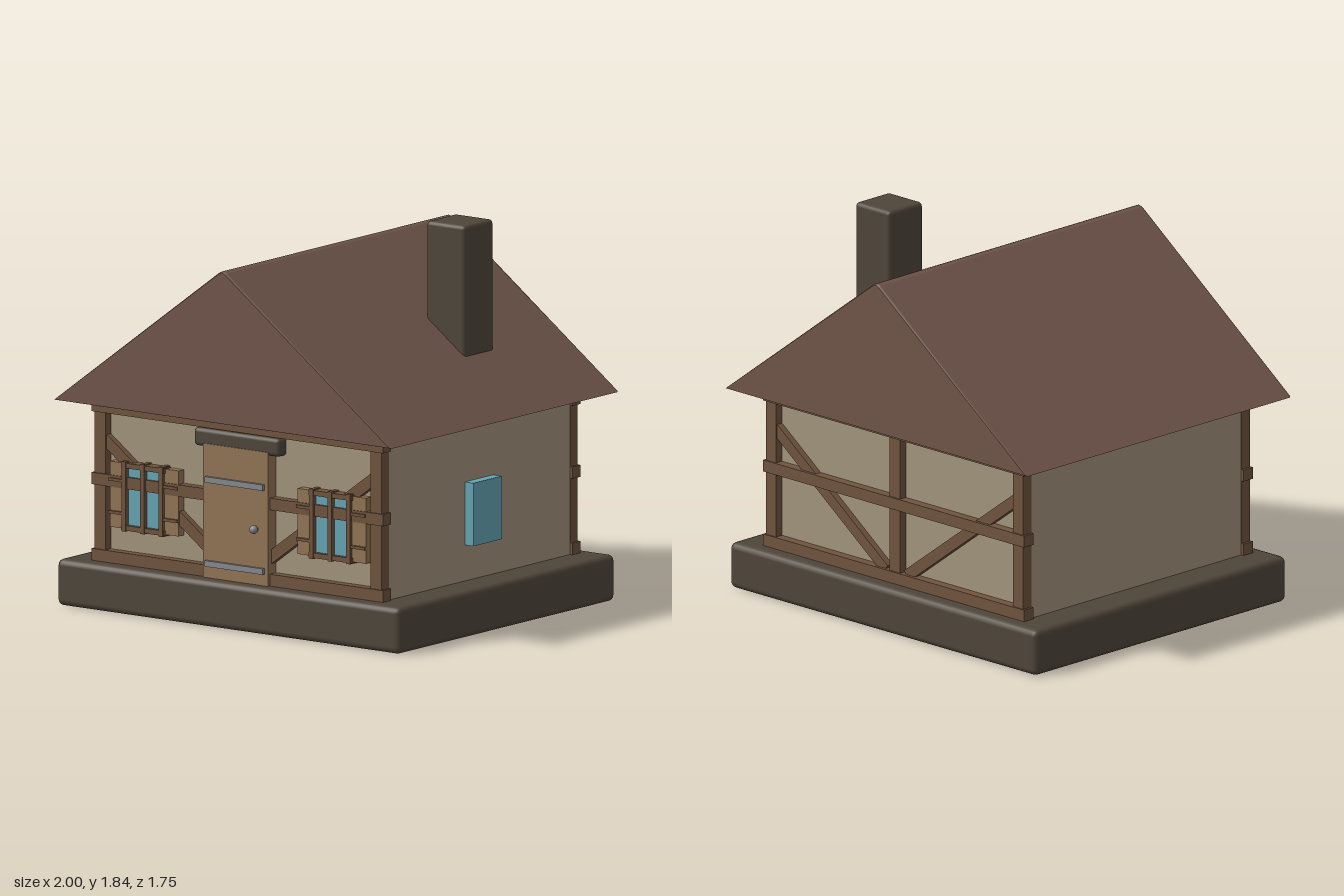
import * as THREE from 'three';
import { RoundedBoxGeometry } from 'three/addons/geometries/RoundedBoxGeometry.js';

const mat = (color) => new THREE.MeshStandardMaterial({ color });
const M = {
  stone: mat(0x4f463a), plaster: mat(0xa3957d), timber: mat(0x70543e), plank: mat(0x937555),
  roof: mat(0x70554a), glass: mat(0x66a5b5), metal: mat(0x858a8e),
};

function add(parent, name, geometry, material) {
  const mesh = new THREE.Mesh(geometry, material);
  mesh.name = name;
  parent.add(mesh);
  return mesh;
}

// Box given by its extents on each axis; a radius rounds its edges
function box(parent, name, material, [x0, x1], [y0, y1], [z0, z1], radius = 0) {
  const size = [x1 - x0, y1 - y0, z1 - z0];
  const geometry = radius ? new RoundedBoxGeometry(...size, 2, radius) : new THREE.BoxGeometry(...size);
  const mesh = add(parent, name, geometry, material);
  mesh.position.set((x0 + x1) / 2, (y0 + y1) / 2, (z0 + z1) / 2);
  return mesh;
}

// Timber framing for one gable wall, facing +z
function timberFrame(name) {
  const frame = new THREE.Group();
  frame.name = name;
  for (const s of [-1, 1]) {
    const post = box(frame, 'cornerPost', M.timber, [-0.0325, 0.0325], [0.22, 0.98], [0.695, 0.75]);
    post.position.x = s * 0.805;
    // Diagonal brace from the corner post down towards the middle
    const a = new THREE.Vector2(s * 0.79, 0.8), b = new THREE.Vector2(s * 0.07, 0.27);
    const brace = add(frame, 'brace', new THREE.BoxGeometry(a.distanceTo(b), 0.055, 0.04), M.timber);
    brace.position.set((a.x + b.x) / 2, (a.y + b.y) / 2, 0.722);
    brace.rotation.z = Math.atan2(a.y - b.y, a.x - b.x);
  }
  box(frame, 'middlePost', M.timber, [-0.035, 0.035], [0.22, 0.98], [0.695, 0.748]);
  for (const y of [0.22, 0.58, 0.925])
    box(frame, 'rail', M.timber, [-0.85, 0.85], [y, y + 0.056], [0.695, 0.757]);
  return frame;
}

// Casement window with open shutters, centred on x = 0
function shutteredWindow(name) {
  const win = new THREE.Group();
  win.name = name;
  box(win, 'glass', M.glass, [-0.11, 0.11], [0.39, 0.7], [0.7, 0.745]);
  for (const x of [-0.108, 0, 0.108])
    box(win, 'windowBar', M.timber, [x - 0.012, x + 0.012], [0.38, 0.71], [0.7, 0.768]);
  for (const y of [0.385, 0.68])
    box(win, 'windowSill', M.timber, [-0.125, 0.125], [y, y + 0.024], [0.7, 0.766]);
  for (const s of [-1, 1]) {
    const xs = [s * 0.12, s * 0.2].sort((p, q) => p - q);
    box(win, 'shutter', M.plank, xs, [0.39, 0.7], [0.7, 0.752]);
    for (const y of [0.455, 0.61])
      box(win, 'shutterBatten', M.timber, xs, [y, y + 0.014], [0.74, 0.764]);
  }
  return win;
}

export function createModel() {
  const house = new THREE.Group();
  house.name = 'cottage';

  // Stone base and plaster walls
  box(house, 'base', M.stone, [-1, 1], [0, 0.22], [-0.832, 0.832], 0.03);
  box(house, 'walls', M.plaster, [-0.835, 0.835], [0.2, 1], [-0.71, 0.71]);

  // Solid gabled roof with slightly bevelled gable edges
  const gable = new THREE.Shape([
    new THREE.Vector2(-0.985, 0.98), new THREE.Vector2(0.985, 0.98),
    new THREE.Vector2(0.02, 1.695), new THREE.Vector2(0, 1.703), new THREE.Vector2(-0.02, 1.695),
  ]);
  const roofGeometry = new THREE.ExtrudeGeometry(gable, {
    depth: 1.73, bevelEnabled: true, bevelThickness: 0.01, bevelSize: 0.006, bevelOffset: -0.006, bevelSegments: 1,
  });
  roofGeometry.translate(0, 0, -0.865);
  add(house, 'roof', roofGeometry, M.roof);
  box(house, 'chimney', M.stone, [0.432, 0.658], [1.1, 1.84], [-0.347, -0.12], 0.02);

  // Timber framing front and back
  const back = timberFrame('backTimbers');
  back.rotation.y = Math.PI;
  house.add(timberFrame('frontTimbers'), back);

  // Door with lintel, straps and knob
  const door = new THREE.Group();
  door.name = 'door';
  box(door, 'lintel', M.stone, [-0.25, 0.25], [0.835, 0.922], [0.66, 0.767], 0.02);
  box(door, 'doorPanel', M.plank, [-0.19, 0.19], [0.22, 0.853], [0.7, 0.771]);
  for (const y of [0.275, 0.672])
    box(door, 'hingeStrap', M.metal, [-0.17, 0.17], [y, y + 0.028], [0.765, 0.786]);
  const stem = add(door, 'knobStem', new THREE.CylinderGeometry(0.009, 0.009, 0.03, 12), M.metal);
  stem.rotation.x = Math.PI / 2;
  stem.position.set(0.125, 0.485, 0.78);
  add(door, 'knob', new THREE.SphereGeometry(0.02, 16, 12), M.metal).position.set(0.125, 0.485, 0.795);
  house.add(door);

  // Front windows on both sides of the door, and a plain one on the left wall
  for (const s of [-1, 1]) {
    const win = shutteredWindow(s < 0 ? 'rightFrontWindow' : 'leftFrontWindow');
    win.position.x = s * 0.547;
    house.add(win);
  }
  box(house, 'sideWindow', M.glass, [0.8, 0.885], [0.39, 0.688], [-0.108, 0.11]);

  return house;
}
